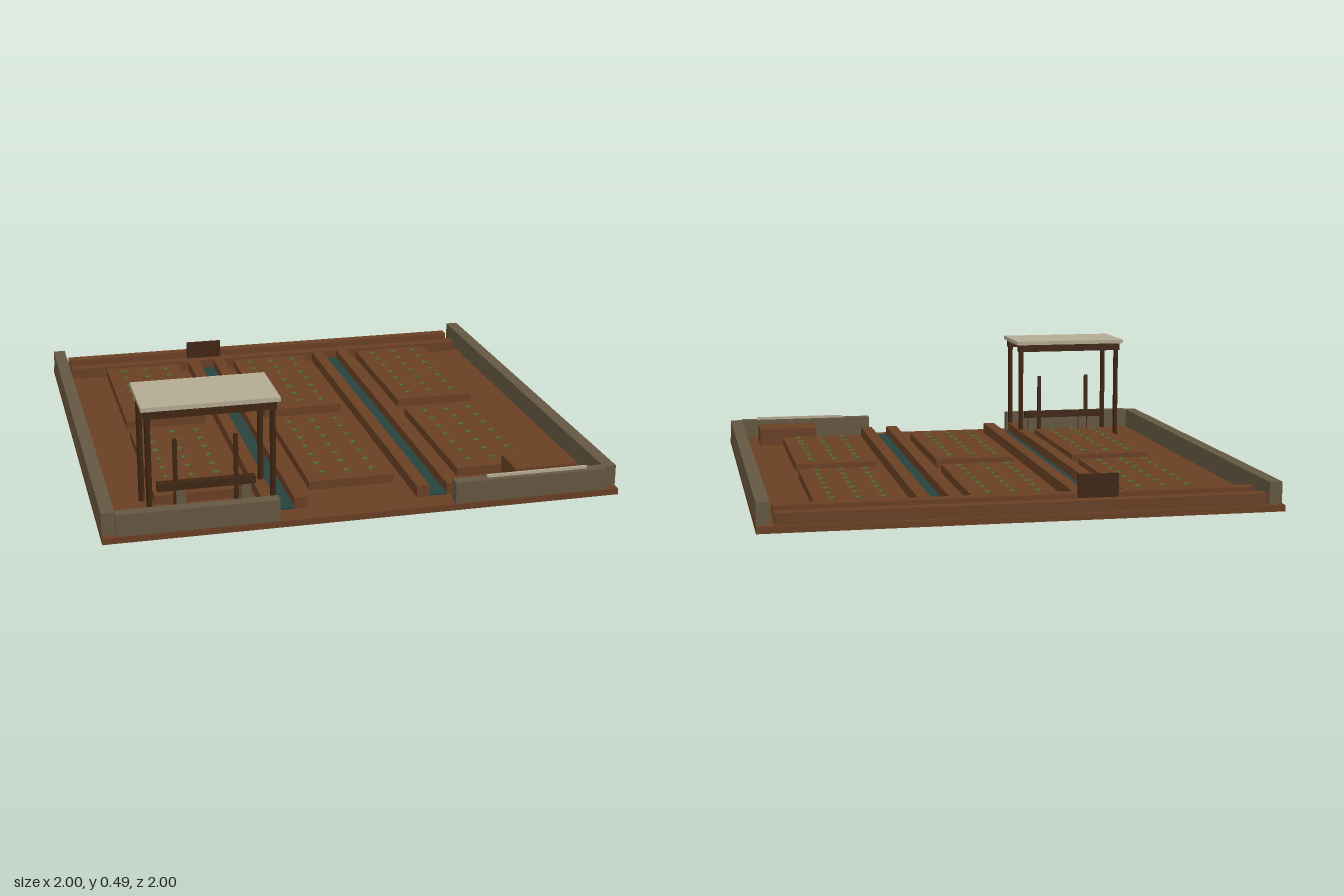
import * as THREE from 'three';
import { mergeGeometries } from 'three/addons/utils/BufferGeometryUtils.js';

const mat = (name, color) => {
  const m = new THREE.MeshStandardMaterial({ color });
  m.name = name;
  return m;
};

export function createModel() {
  const model = new THREE.Group();
  model.name = 'irrigatedGarden';
  const soil = mat('soil', 0x693f23);
  const stone = mat('mudBrick', 0x645741);
  const water = mat('water', 0x27423e);
  const wood = mat('darkWood', 0x3f2612);
  const cloth = mat('paleCanopy', 0xb3aa91);
  const leaf = mat('leaf', 0x587a34);

  // Box given by its limits on each axis
  const box = (name, material, x0, x1, y0, y1, z0, z1, parent = model) => {
    const mesh = new THREE.Mesh(new THREE.BoxGeometry(x1 - x0, y1 - y0, z1 - z0), material);
    mesh.position.set((x0 + x1) / 2, (y0 + y1) / 2, (z0 + z1) / 2);
    mesh.name = name;
    parent.add(mesh);
    return mesh;
  };
  const G = 0.025; // ground level

  box('ground', soil, -1, 1, 0, G, -1, 1);

  // Enclosing walls with an opening at the front
  for (const s of [-1, 1]) {
    const a = s * 0.947, b = s * 0.998, c = s * 0.34;
    box('sideWall', stone, Math.min(a, b), Math.max(a, b), G, 0.11, -0.97, 0.97);
    box('frontWall', stone, Math.min(a, c), Math.max(a, c), G, 0.11, 0.95, 0.997);
  }
  box('wallRail', cloth, 0.47, 0.875, 0.11, 0.121, 0.965, 0.975);

  // Main canal along the back, between two banks
  box('mainCanalWater', water, -0.93, 0.93, G, 0.032, -0.935, -0.85);
  box('mainCanalBank', soil, -0.93, 0.93, G, 0.07, -0.985, -0.935);
  box('mainCanalBank', soil, -0.93, 0.93, G, 0.07, -0.85, -0.8);

  // Two side canals
  for (const x of [-0.3, 0.3]) {
    box('sideCanalWater', water, x - 0.035, x + 0.035, G, 0.032, -0.8, 0.9);
    box('sideCanalBank', soil, x - 0.085, x - 0.035, G, 0.07, -0.8, 0.9);
    box('sideCanalBank', soil, x + 0.035, x + 0.085, G, 0.07, -0.8, 0.9);
  }
  box('sluiceGate', wood, -0.382, -0.224, G, 0.144, -0.86, -0.84);

  // One seedling: five leaves spreading from the centre
  const leaves = [];
  for (let i = 0; i < 5; i++) {
    const g = new THREE.ConeGeometry(0.005, 0.02, 4);
    g.translate(0, 0.009, 0);
    g.rotateZ(-1.0);
    g.rotateY((i / 5) * Math.PI * 2);
    leaves.push(g);
  }
  const seedling = mergeGeometries(leaves);

  // Six beds, each with three rows of seven seedlings
  for (const x of [-0.6, 0, 0.6]) {
    for (const z of [-0.4425, 0.3825]) {
      box('plantingBed', soil, x - 0.17, x + 0.17, G, 0.06, z - 0.357, z + 0.357);
      const plants = [];
      for (let row = -1; row <= 1; row++) {
        for (let n = -3; n <= 3; n++) {
          const g = seedling.clone().rotateY(row * 1.3 + n * 0.8);
          plants.push(g.translate(x + row * 0.1, 0.062, z + n * 0.095));
        }
      }
      const mesh = new THREE.Mesh(mergeGeometries(plants), leaf);
      mesh.name = 'seedlings';
      model.add(mesh);
    }
  }

  box('compostHeap', soil, 0.615, 0.873, G, 0.1, 0.735, 0.89);

  // Open shelter with flat canopy
  const shelter = new THREE.Group();
  shelter.name = 'shelter';
  model.add(shelter);
  box('canopy', cloth, -0.838, -0.325, 0.474, 0.491, 0.652, 0.944, shelter);
  for (const z of [0.685, 0.915]) {
    box('roofBeam', wood, -0.827, -0.337, 0.44, 0.474, z - 0.014, z + 0.014, shelter);
    for (const x of [-0.813, -0.35]) {
      const post = new THREE.Mesh(new THREE.CylinderGeometry(0.0115, 0.0115, 0.44 - G, 8), wood);
      post.position.set(x, (0.44 + G) / 2, z);
      post.name = 'shelterPost';
      shelter.add(post);
    }
  }

  // Bench beam with two uprights on low supports
  box('benchBeam', wood, -0.77, -0.395, 0.108, 0.138, 0.784, 0.816, shelter);
  for (const x of [-0.698, -0.467]) {
    box('benchUpright', wood, x - 0.008, x + 0.008, G, 0.308, 0.793, 0.807, shelter);
  }
  for (const x of [-0.68, -0.43]) {
    box('benchSupport', stone, x - 0.018, x + 0.018, G, 0.108, 0.786, 0.814, shelter);
  }
  return model;
}
